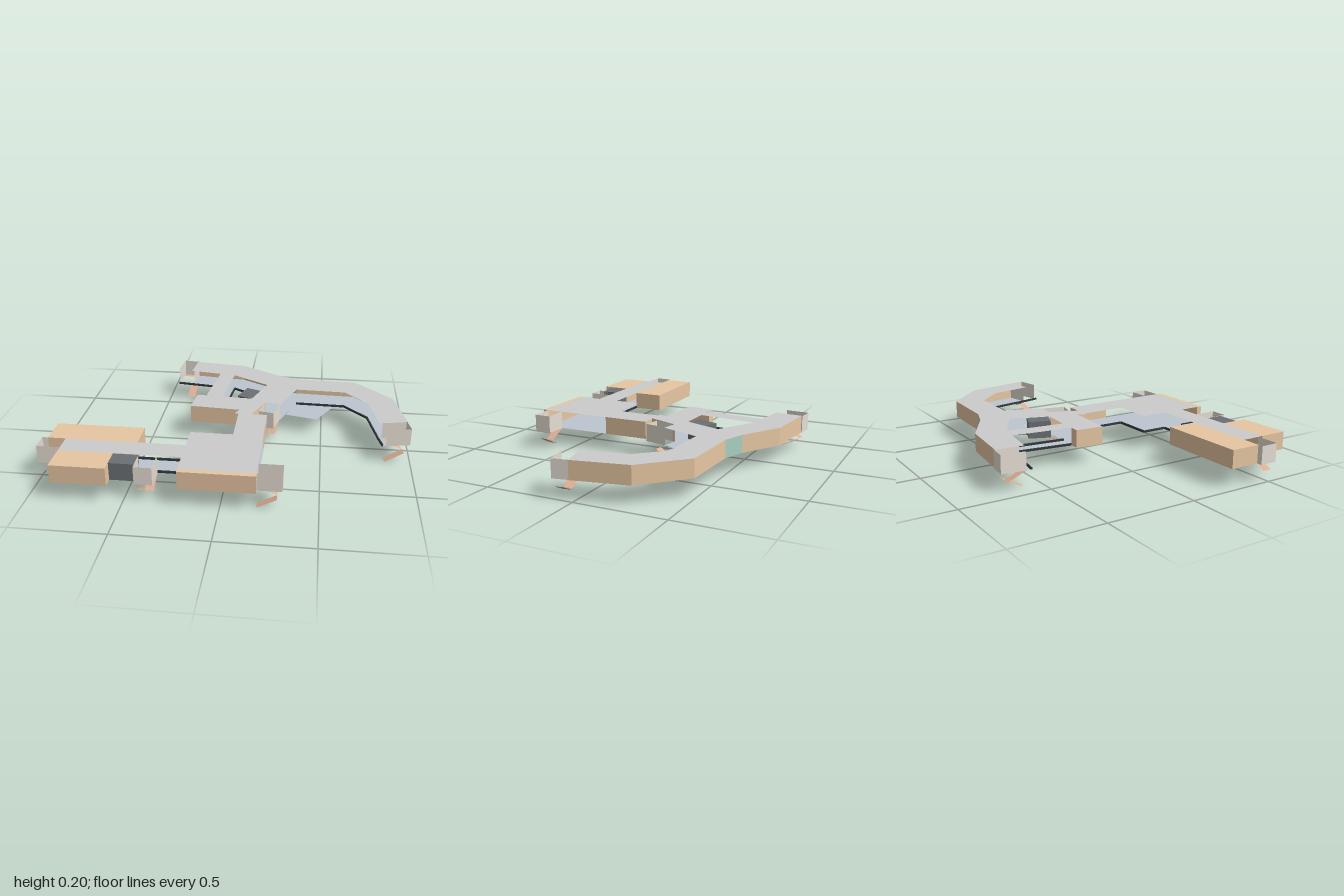
import * as THREE from 'three';

const FLOOR = 0.1, ROOF = 0.2;

const mat = (color) => new THREE.MeshStandardMaterial({ color, side: THREE.DoubleSide, flatShading: true });
const M = {
  roof: mat(0xcccccc), floor: mat(0xbcc6d0), wall: mat(0xe6c6a2), sill: mat(0x33383d),
  block: mat(0x6c7074), porch: mat(0xe6ded4), stair: mat(0xdcae94), panel: mat(0xa8cfc0),
};

export function createModel() {
  const root = new THREE.Group();

  const add = (name, geometry, material, parent = root) => {
    const mesh = new THREE.Mesh(geometry, material);
    mesh.name = name;
    parent.add(mesh);
    return mesh;
  };

  // Flat sheet from a plan outline of [x, z] points
  const sheet = (name, pts, y, material, parent) => {
    const shape = new THREE.Shape(pts.map(([x, z]) => new THREE.Vector2(x, z)));
    return add(name, new THREE.ShapeGeometry(shape).rotateX(Math.PI / 2).translate(0, y, 0), material, parent);
  };

  // Upright thin sheets along a plan path
  const wall = (name, pts, material = M.wall, y0 = FLOOR, y1 = ROOF, parent = root) => {
    for (let i = 0; i + 1 < pts.length; i++) {
      const [ax, az] = pts[i], [bx, bz] = pts[i + 1];
      const g = new THREE.PlaneGeometry(Math.hypot(bx - ax, bz - az), y1 - y0);
      g.rotateY(-Math.atan2(bz - az, bx - ax));
      g.translate((ax + bx) / 2, (y0 + y1) / 2, (az + bz) / 2);
      add(name, g, material, parent);
    }
  };

  // Low dark sills along the open sides
  const sill = (pts) => {
    for (let i = 0; i + 1 < pts.length; i++) {
      const [ax, az] = pts[i], [bx, bz] = pts[i + 1];
      const g = new THREE.BoxGeometry(Math.hypot(bx - ax, bz - az), 0.012, 0.008);
      g.rotateY(-Math.atan2(bz - az, bx - ax));
      add('windowSill', g, M.sill).position.set((ax + bx) / 2, FLOOR + 0.006, (az + bz) / 2);
    }
  };

  // Closed volume on a plan outline
  const prism = (name, pts, material, y1 = ROOF) => {
    const shape = new THREE.Shape(pts.map(([x, z]) => new THREE.Vector2(x, z)));
    const g = new THREE.ExtrudeGeometry(shape, { depth: y1 - FLOOR, bevelEnabled: false });
    add(name, g.rotateX(Math.PI / 2).translate(0, y1, 0), material);
  };

  const rect = (x0, z0, x1, z1) => [[x0, z0], [x1, z0], [x1, z1], [x0, z1]];

  // Decks: each wing has a floor and a matching roof
  const wings = {
    arcWing: [[-0.335, -0.725], [-0.02, -0.69], [0.21, -0.555], [0.335, -0.51], [0.7, -0.495], [0.92, -0.275],
      [0.98, 0.03], [0.82, 0.065], [0.77, -0.19], [0.635, -0.335], [0.34, -0.345], [0.155, -0.395],
      [-0.065, -0.525], [-0.35, -0.567]],
    diagonalPassage: [[0.155, -0.395], [0.34, -0.345], [0.255, -0.12], [0.165, -0.14], [0.095, 0.035], [0, 0.03]],
    southPassage: rect(0.02, 0.03, 0.185, 0.29),
    mainHall: rect(-0.215, 0.29, 0.185, 0.69),
    westPassage: rect(-0.87, 0.44, -0.215, 0.57),
    smallRoom: [[-0.255, -0.2], [0.08, -0.182], [0.025, -0.02], [-0.27, -0.04]],
    linkPassage: [[-0.16, -0.539], [-0.065, -0.525], [-0.1, -0.19], [-0.2, -0.2]],
  };
  for (const [name, pts] of Object.entries(wings)) {
    sheet(name + 'Floor', pts, FLOOR, M.floor);
    sheet(name + 'Roof', pts, ROOF, M.roof);
  }

  // Open floors without a roof
  const terrace = [[0.34, -0.345], [0.575, -0.34], [0.47, -0.145], [0.285, -0.19]];
  sheet('terraceFloor', terrace, FLOOR, M.floor);
  sheet('westLandingFloor', [[-0.35, -0.567], [-0.44, -0.578], [-0.435, -0.605], [-0.345, -0.595]], FLOOR, M.floor);
  sheet('eastLandingFloor', [[0.82, 0.065], [0.85, 0.058], [0.87, 0.14], [0.84, 0.148]], FLOOR, M.floor);

  // Solid walls
  const arc = wings.arcWing;
  wall('arcOuterWall', arc.slice(0, 3));
  wall('arcPanel', arc.slice(2, 4), M.panel);
  wall('arcOuterWall', arc.slice(3, 7));
  wall('southPassageWall', [[0.185, 0.29], [0.185, 0.03], [0.095, 0.035], [0.165, -0.14]]);
  wall('smallRoomWall', [[-0.2, -0.197], [-0.255, -0.2], [-0.27, -0.04], [0.025, -0.02]]);

  // Closed rooms and service blocks
  prism('frontRoom', rect(-0.215, 0.69, 0.185, 0.72), M.wall);
  prism('southWestRoom', rect(-0.87, 0.57, -0.575, 0.73), M.wall);
  prism('northWestRoom', rect(-0.97, 0.27, -0.475, 0.44), M.wall);
  prism('serviceBlock', rect(-0.575, 0.57, -0.44, 0.67), M.block, ROOF - 0.002);
  prism('serviceBlock', [[0.035, -0.34], [0.12, -0.305], [0.08, -0.185], [-0.01, -0.22]], M.block, ROOF - 0.002);

  // Sills along the open sides
  sill([[-0.44, -0.578], [-0.16, -0.539], [-0.2, -0.2]]);
  sill([[-0.1, -0.19], [-0.065, -0.525], [0.155, -0.395], [0.12, -0.305]]);
  sill([[0.34, -0.345], [0.635, -0.335], [0.77, -0.19], [0.82, 0.065], [0.84, 0.148]]);
  sill([[0.02, 0.03], [0.02, 0.29], [-0.215, 0.29], [-0.215, 0.44], [-0.475, 0.44]]);
  sill([[-0.345, 0.57], [-0.215, 0.57], [-0.215, 0.69]]);

  // Porch: open-topped box with a folded stair; local +z points outward
  const porch = (x, z, dx, dz, width, depth) => {
    const g = new THREE.Group();
    g.name = 'stairPorch';
    g.position.set(x, 0, z);
    g.rotation.y = Math.atan2(dx, dz);
    const h = width / 2, run = depth * 0.78;
    wall('porchWall', [[-h, 0], [-h, depth], [h, depth], [h, 0]], M.porch, FLOOR, ROOF, g);
    sheet('porchLanding', rect(-h, run, h, depth), FLOOR, M.stair, g);
    const flight = (name, cx, yIn, yOut) => {
      const f = new THREE.PlaneGeometry(h, Math.hypot(run, yOut - yIn));
      f.rotateX(-Math.PI / 2 - Math.atan2(yOut - yIn, run));
      add(name, f, M.stair, g).position.set(cx, (yIn + yOut) / 2, run / 2);
    };
    flight('upperFlight', h / 2, 0.1, 0.05);
    flight('lowerFlight', -h / 2, 0, 0.05);
    root.add(g);
  };
  porch(-0.87, 0.49, -1, 0, 0.1, 0.13);
  porch(-0.392, 0.57, 0, 1, 0.096, 0.13);
  porch(0.185, 0.64, 1, 0, 0.096, 0.13);
  porch(0.207, -0.132, -0.22, 0.975, 0.09, 0.13);
  porch(-0.39, -0.6, 0.1, -0.995, 0.096, 0.135);
  porch(0.85, 0.098, 0.98, -0.2, 0.096, 0.138);

  return root;
}
